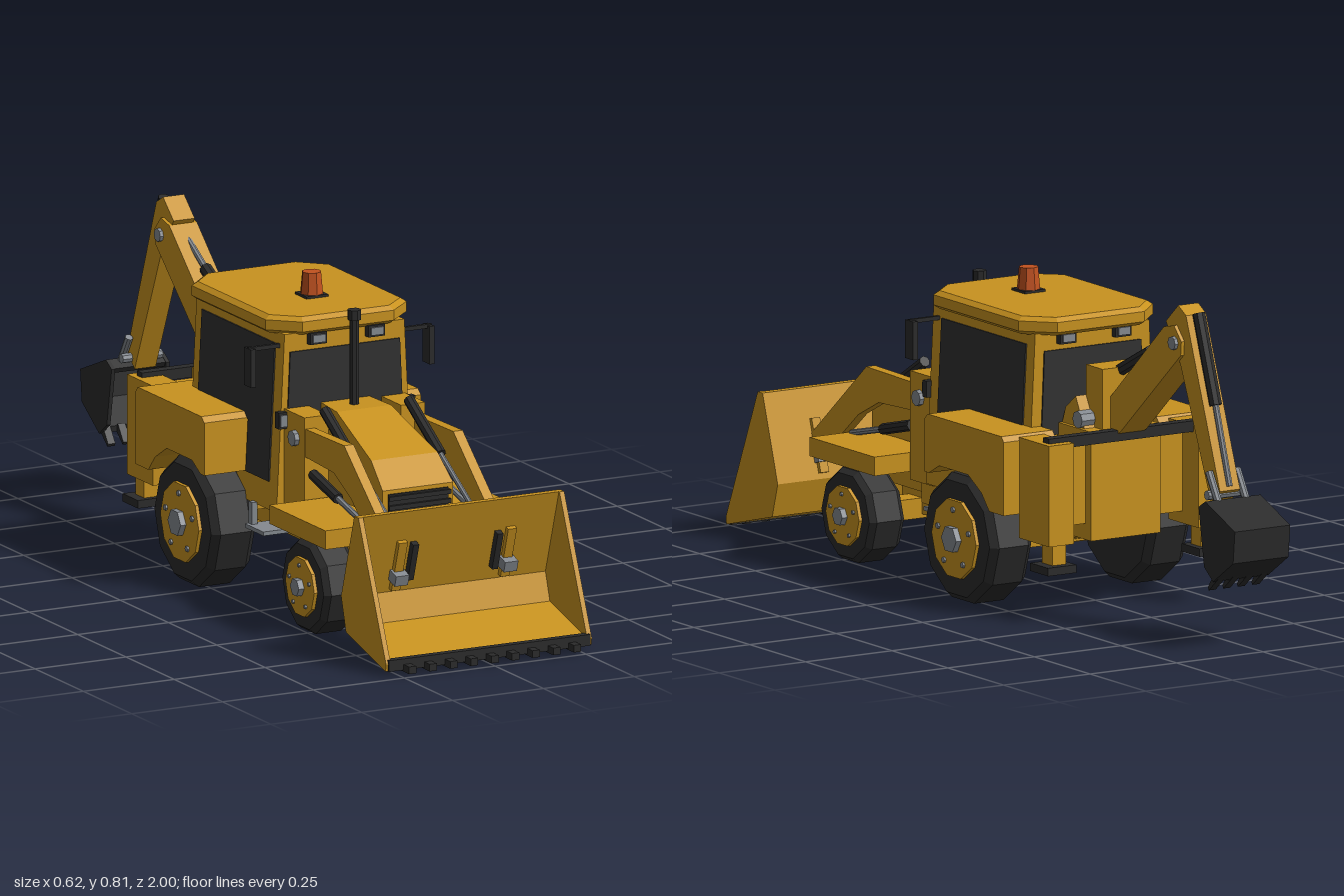
import * as THREE from 'three';

const paint = (name, color) => {
  const m = new THREE.MeshStandardMaterial({ color });
  m.name = name;
  return m;
};

export function createModel() {
  const yellow = paint('yellow paint', 0xc8921f);
  const black = paint('black rubber', 0x2b2b2b);
  const glass = paint('dark glass', 0x313131);
  const grey = paint('grey steel', 0x858a90);
  const orange = paint('orange lamp', 0xc2521f);

  const model = new THREE.Group();
  model.name = 'tractor digger';

  // Helpers: faceted mesh, box from its limits, side profile extruded along x, bar between two points
  const add = (name, geo, mat, parent = model) => {
    const g = geo.index ? geo.toNonIndexed() : geo;
    g.computeVertexNormals();
    const mesh = new THREE.Mesh(g, mat);
    mesh.name = name;
    parent.add(mesh);
    return mesh;
  };
  const boxGeo = (x0, x1, y0, y1, z0, z1) =>
    new THREE.BoxGeometry(Math.abs(x1 - x0), y1 - y0, z1 - z0)
      .translate((x0 + x1) / 2, (y0 + y1) / 2, (z0 + z1) / 2);
  const box = (name, mat, ...limits) => add(name, boxGeo(...limits), mat);
  const prismGeo = (pts, xa, xb) => {
    const shape = new THREE.Shape(pts.map(([z, y]) => new THREE.Vector2(z, y)));
    return new THREE.ExtrudeGeometry(shape, { depth: Math.abs(xb - xa), bevelEnabled: false })
      .rotateY(-Math.PI / 2).translate(Math.max(xa, xb), 0, 0);
  };
  const prism = (name, mat, pts, xa, xb) => add(name, prismGeo(pts, xa, xb), mat);
  const bar = (name, mat, a, b, r) => {
    const p = new THREE.Vector3(...a), q = new THREE.Vector3(...b);
    const mesh = add(name, new THREE.CylinderGeometry(r, r, p.distanceTo(q), 8), mat);
    mesh.position.copy(p).lerp(q, 0.5);
    mesh.quaternion.setFromUnitVectors(new THREE.Vector3(0, 1, 0), q.sub(p).normalize());
  };
  const reshape = (geo, rule) => {
    const p = geo.attributes.position;
    for (let i = 0; i < p.count; i++) p.setX(i, p.getX(i) * rule(p.getY(i), p.getZ(i)));
    return geo;
  };
  const sides = [1, -1];

  // Chassis, axles and belly
  box('chassis', yellow, -0.11, 0.11, 0.15, 0.27, -0.24, 0.36);
  box('frontChassis', yellow, -0.09, 0.09, 0.17, 0.27, 0.36, 0.595);
  box('frontAxle', yellow, -0.17, 0.17, 0.09, 0.14, 0.45, 0.51);
  box('frontPivot', yellow, -0.05, 0.05, 0.1, 0.2, 0.42, 0.54);
  box('rearAxle', yellow, -0.19, 0.19, 0.12, 0.2, -0.12, -0.03);
  prism('rearBelly', yellow, [[-0.22, 0.15], [-0.2, 0.28], [-0.32, 0.28], [-0.32, 0.18]], -0.095, 0.095);

  // Bonnet widens towards the front
  const bonnet = [[0.2, 0.22], [0.6, 0.22], [0.6, 0.36], [0.53, 0.42], [0.32, 0.493], [0.2, 0.495]];
  add('bonnet', reshape(prismGeo(bonnet, -1, 1), (y, z) => 0.065 + 0.08 * (z - 0.2)), yellow);
  box('grille', black, -0.082, 0.082, 0.235, 0.35, 0.6, 0.605);
  for (let i = 0; i < 5; i++) {
    const y = 0.243 + i * 0.023;
    box('grilleSlat', black, -0.085, 0.085, y, y + 0.011, 0.605, 0.613);
  }
  bar('exhaustPipe', black, [0, 0.47, 0.27], [0, 0.71, 0.27], 0.012);
  bar('exhaustTip', black, [0, 0.705, 0.27], [0, 0.73, 0.27], 0.017);

  // Cab with walls leaning inward
  const lean = (y) => 1 - 0.27 * (y - 0.27);
  add('cab', reshape(boxGeo(-0.185, 0.185, 0.23, 0.675, -0.235, 0.22), lean), yellow);
  add('frontWindow', reshape(boxGeo(-0.167, 0.167, 0.35, 0.63, 0.22, 0.224), lean), glass);
  add('rearWindow', reshape(boxGeo(-0.155, 0.155, 0.42, 0.63, -0.239, -0.235), lean), glass);
  const sideGlass = [[0.178, 0.3], [0.178, 0.645], [-0.2, 0.645], [-0.2, 0.43], [0.06, 0.43], [0.06, 0.3]];
  for (const s of sides)
    add('sideWindow', reshape(prismGeo(sideGlass, s * 0.183, s * 0.189), lean), glass);

  // Roof slab with cut corners
  const roofShape = new THREE.Shape(
    [[-0.12, -0.225], [0.12, -0.225], [0.18, -0.17], [0.18, 0.2], [0.12, 0.26], [-0.12, 0.26], [-0.18, 0.2], [-0.18, -0.17]]
      .map((p) => new THREE.Vector2(...p)));
  add('roof', new THREE.ExtrudeGeometry(roofShape, {
    depth: 0.025, bevelThickness: 0.01, bevelSize: 0.014, bevelSegments: 1,
  }).rotateX(-Math.PI / 2).translate(0, 0.681, 0), yellow);
  box('beaconBase', black, -0.03, 0.03, 0.714, 0.722, 0.02, 0.08);
  add('beacon', new THREE.CylinderGeometry(0.024, 0.029, 0.055, 8).translate(0, 0.749, 0.05), orange);

  for (const s of sides) {
    // Work lights, mirrors and marker lamps
    for (const [z, d] of [[0.225, 1], [-0.24, -1]]) {
      box('workLightCase', black, s * 0.08 - 0.023, s * 0.08 + 0.023, 0.645, 0.674, z - 0.012, z + 0.012);
      box('workLightLens', grey, s * 0.08 - 0.017, s * 0.08 + 0.017, 0.65, 0.669, z + d * 0.0145 - 0.0025, z + d * 0.0145 + 0.0025);
    }
    box('mirrorArm', black, s * 0.16, s * 0.252, 0.638, 0.648, 0.19, 0.2);
    box('mirror', black, s * 0.239, s * 0.253, 0.55, 0.645, 0.175, 0.211);
    box('markerCase', black, s * 0.165, s * 0.188, 0.443, 0.484, 0.215, 0.235);
    box('markerLens', grey, s * 0.168, s * 0.185, 0.449, 0.478, 0.235, 0.24);

    // Mudguards
    box('frontMudguard', yellow, s * 0.09, s * 0.265, 0.238, 0.285, 0.33, 0.62);
    prism('rearMudguard', yellow, [[0.055, 0.432], [0.04, 0.445], [-0.29, 0.445], [-0.3, 0.432], [-0.3, 0.25],
      [-0.235, 0.25], [-0.2, 0.29], [-0.14, 0.325], [-0.01, 0.325], [0.035, 0.3], [0.055, 0.3]], s * 0.15, s * 0.298);
    box('innerWheelArch', yellow, s * 0.11, s * 0.165, 0.2, 0.4, -0.28, 0.06);

    // Entry step
    box('stepPlate', grey, s * 0.12, s * 0.21, 0.17, 0.18, 0.1, 0.195);
    box('stepHanger', grey, s * 0.185, s * 0.2, 0.17, 0.235, 0.1, 0.118);

    // Lift tower, arms and rams
    box('liftTower', yellow, s * 0.1, s * 0.166, 0.22, 0.49, 0.22, 0.325);
    prism('liftArm', yellow, [[0.24, 0.46], [0.525, 0.465], [0.59, 0.41], [0.775, 0.255], [0.75, 0.185],
      [0.56, 0.34], [0.47, 0.385], [0.24, 0.395]], s * 0.137, s * 0.163);
    bar('towerPin', grey, [s * 0.16, 0.43, 0.28], [s * 0.178, 0.43, 0.28], 0.02);
    bar('tiltRam', black, [s * 0.116, 0.505, 0.335], [s * 0.116, 0.405, 0.5], 0.014);
    bar('tiltRod', grey, [s * 0.116, 0.405, 0.5], [s * 0.116, 0.255, 0.755], 0.007);
    bar('liftRam', black, [s * 0.15, 0.35, 0.34], [s * 0.15, 0.318, 0.47], 0.014);
    bar('liftRod', grey, [s * 0.15, 0.318, 0.47], [s * 0.15, 0.285, 0.61], 0.008);

    // Front bucket cheeks and mounting brackets
    prism('frontBucketCheek', yellow, [[0.825, 0.365], [0.803, 0.365], [0.735, 0.15], [0.76, 0.065], [0.965, 0.012], [0.968, 0.03]],
      s * 0.27, s * 0.283);
    for (const [name, mat, x, y, w, h, d, z] of [
      ['tiltBracket', black, 0.116, 0.235, 0.016, 0.1, 0.05, 0.772],
      ['armBracket', yellow, 0.15, 0.225, 0.024, 0.135, 0.04, 0.769],
      ['bucketPin', grey, 0.15, 0.197, 0.036, 0.028, 0.07, 0.767]]) {
      const part = add(name, new THREE.BoxGeometry(w, h, d), mat);
      part.position.set(s * x, y, z);
      part.rotation.x = 0.31;
    }

    // Stabiliser legs
    box('stabiliserPost', yellow, s * 0.18, s * 0.252, 0.19, 0.44, -0.432, -0.298);
    box('stabiliserLeg', yellow, s * 0.195, s * 0.235, 0.135, 0.2, -0.42, -0.375);
    box('stabiliserFoot', black, s * 0.178, s * 0.26, 0.12, 0.14, -0.44, -0.36);
  }

  // Wheels: faceted tyre, yellow rim, grey hub and nuts
  const wheel = (name, s, x, z, r, width, rim, hub) => {
    const g = new THREE.Group();
    g.name = name;
    const w = width / 2, c = r * 0.9;
    const profile = [[0, -w], [c, -w], [r, -w * 0.7], [r, w * 0.7], [c, w], [0, w]].map((p) => new THREE.Vector2(...p));
    add('tyre', new THREE.LatheGeometry(profile, 10).rotateZ(-Math.PI / 2), black, g);
    const disc = (part, radius, len, n, mat, y = 0, zz = 0) => add(part,
      new THREE.CylinderGeometry(radius, radius, len, n).rotateZ(-Math.PI / 2).translate(w + len / 2, y, zz), mat, g);
    disc('rim', rim, 0.009, 10, yellow);
    disc('hub', hub, 0.024, 6, grey);
    for (let i = 0; i < 5; i++) {
      const a = i * Math.PI * 0.4 + 0.3;
      disc('wheelNut', hub * 0.22, 0.014, 6, grey, Math.sin(a) * rim * 0.72, Math.cos(a) * rim * 0.72);
    }
    g.position.set(s * x, r * Math.cos(Math.PI / 10), z);
    if (s < 0) g.rotation.y = Math.PI;
    model.add(g);
  };
  for (const s of sides) {
    wheel('rearWheel', s, 0.228, -0.075, 0.163, 0.12, 0.1, 0.034);
    wheel('frontWheel', s, 0.202, 0.48, 0.119, 0.1, 0.075, 0.023);
  }

  // Front bucket shell, cutting edge and teeth
  prism('frontBucket', yellow, [[0.803, 0.365], [0.735, 0.15], [0.76, 0.065], [0.965, 0.012], [0.965, 0.03],
    [0.775, 0.08], [0.752, 0.15], [0.822, 0.365]], -0.272, 0.272);
  box('cuttingEdge', black, -0.277, 0.277, 0.012, 0.04, 0.952, 0.972);
  for (let i = -4; i <= 4; i++)
    box('frontBucketTooth', black, i * 0.0567 - 0.01, i * 0.0567 + 0.01, 0.008, 0.026, 0.96, 1.0);

  // Rear frame and swing post
  box('rearFrame', yellow, -0.25, 0.25, 0.22, 0.43, -0.36, -0.3);
  box('rearPlate', yellow, -0.1, 0.1, 0.18, 0.45, -0.385, -0.23);
  box('stabiliserBar', black, -0.237, 0.237, 0.425, 0.452, -0.409, -0.382);
  box('swingPost', yellow, -0.06, 0.06, 0.44, 0.6, -0.375, -0.3);
  prism('swingBracket', yellow, [[-0.24, 0.45], [-0.255, 0.49], [-0.3, 0.525], [-0.34, 0.45], [-0.31, 0.3]], -0.09, 0.09);
  bar('swingPin', grey, [-0.098, 0.47, -0.32], [0.098, 0.47, -0.32], 0.022);

  // Boom, stick and their rams
  prism('boom', yellow, [[-0.29, 0.47], [-0.375, 0.53], [-0.615, 0.745], [-0.66, 0.755], [-0.693, 0.72],
    [-0.69, 0.685], [-0.42, 0.45], [-0.33, 0.4]], -0.038, 0.038);
  prism('stick', yellow, [[-0.61, 0.757], [-0.665, 0.805], [-0.7, 0.785], [-0.852, 0.375], [-0.812, 0.34], [-0.675, 0.66]],
    -0.029, 0.029);
  bar('elbowPin', grey, [-0.047, 0.712, -0.662], [0.047, 0.712, -0.662], 0.017);
  bar('boomRam', black, [0, 0.592, -0.365], [0, 0.66, -0.5], 0.016);
  bar('boomRod', grey, [0, 0.66, -0.5], [0, 0.745, -0.645], 0.008);
  bar('stickRam', black, [0, 0.79, -0.712], [0, 0.575, -0.788], 0.016);
  bar('stickRod', grey, [0, 0.575, -0.788], [0, 0.385, -0.85], 0.008);
  for (const s of sides)
    bar('bucketLink', grey, [s * 0.04, 0.42, -0.82], [s * 0.04, 0.345, -0.865], 0.01);
  bar('wristPin', grey, [-0.055, 0.365, -0.833], [0.055, 0.365, -0.833], 0.012);

  // Digging bucket, open towards the machine
  prism('diggerBucket', black, [[-0.838, 0.34], [-0.865, 0.358], [-0.998, 0.305], [-0.99, 0.225], [-0.9, 0.165],
    [-0.898, 0.18], [-0.975, 0.232], [-0.982, 0.295], [-0.865, 0.34], [-0.845, 0.328]], -0.078, 0.078);
  for (const s of sides)
    prism('diggerCheek', black, [[-0.835, 0.34], [-0.865, 0.358], [-0.998, 0.305], [-0.99, 0.225], [-0.9, 0.165], [-0.86, 0.195]],
      s * 0.07, s * 0.08);
  for (let i = 0; i < 4; i++) {
    const x = (i - 1.5) * 0.042;
    prism('diggerTooth', black, [[-0.915, 0.175], [-0.895, 0.185], [-0.866, 0.145], [-0.87, 0.138]], x - 0.01, x + 0.01);
  }

  return model;
}
